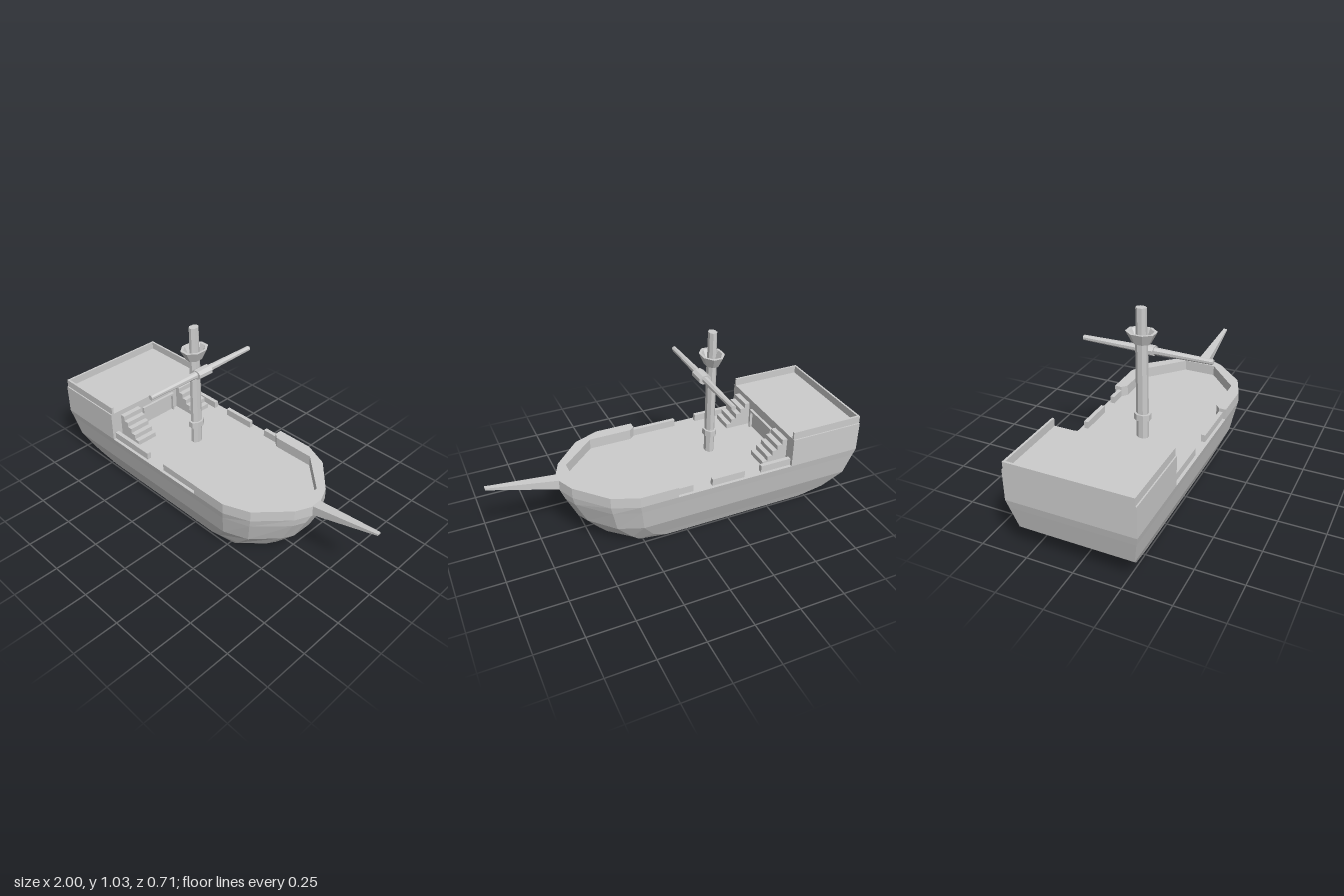
import * as THREE from 'three';

const material = new THREE.MeshStandardMaterial({ color: 0xcccccc, flatShading: true, side: THREE.DoubleSide });

// Stack of closed loops of [x, y, z] joined by quads, with both ends capped.
function loft(loops) {
  const n = loops[0].length, last = (loops.length - 1) * n, index = [];
  for (let k = 0; k < loops.length - 1; k++) {
    for (let i = 0; i < n; i++) {
      const a = k * n + i, b = k * n + (i + 1) % n;
      index.push(a, b, b + n, a, b + n, a + n);
    }
  }
  for (let i = 1; i < n - 1; i++) {
    index.push(0, i + 1, i, last, last + i, last + i + 1);
  }
  const geometry = new THREE.BufferGeometry();
  geometry.setAttribute('position', new THREE.Float32BufferAttribute(loops.flat(2), 3));
  geometry.setIndex(index);
  const flat = geometry.toNonIndexed();
  flat.computeVertexNormals();
  return flat;
}

function extrude(points, depth) {
  const shape = new THREE.Shape(points.map(([x, y]) => new THREE.Vector2(x, y)));
  return new THREE.ExtrudeGeometry(shape, { depth, bevelEnabled: false });
}

// Appends the mirrored half, in reverse order, to a half outline.
const mirrored = (half) => [...half, ...half.map(([x, z]) => [x, -z]).reverse()];

export function createModel() {
  const model = new THREE.Group();
  const add = (name, geometry, parent = model) => {
    const mesh = new THREE.Mesh(geometry, material);
    mesh.name = name;
    parent.add(mesh);
    return mesh;
  };
  const addBox = (name, x0, x1, y0, y1, z0, z1) => {
    const mesh = add(name, new THREE.BoxGeometry(x1 - x0, y1 - y0, z1 - z0));
    mesh.position.set((x0 + x1) / 2, (y0 + y1) / 2, (z0 + z1) / 2);
  };

  // Hull: half outlines [x, z] from stern to bow at each height
  const deckY = 0.31;
  const sections = [
    [0, [[-0.72, 0.24], [0.12, 0.24], [0.27, 0.215], [0.31, 0.14], [0.33, 0.1]]],
    [0.04, [[-0.86, 0.256], [0.2, 0.256], [0.31, 0.23], [0.42, 0.13], [0.45, 0.08]]],
    [0.14, [[-0.96, 0.3], [0.27, 0.3], [0.4, 0.25], [0.52, 0.12], [0.55, 0.06]]],
    [0.265, [[-0.99, 0.325], [0.29, 0.325], [0.43, 0.275], [0.58, 0.12], [0.61, 0.055]]],
    [deckY, [[-1, 0.335], [0.3, 0.335], [0.44, 0.28], [0.59, 0.12], [0.63, 0.03]]],
  ];
  add('hull', loft(sections.map(([y, half]) => mirrored(half).map(([x, z]) => [x, y, z]))));

  // Raised bulwark round the bow
  const outer = mirrored([[0.09, 0.335], [0.3, 0.335], [0.44, 0.28], [0.59, 0.12], [0.63, 0.03]]);
  const inner = mirrored([[0.09, 0.295], [0.12, 0.27], [0.36, 0.27], [0.555, 0.09]]).reverse();
  const bulwark = extrude([...outer, ...inner], 0.06).rotateX(-Math.PI / 2);
  add('bowBulwark', bulwark).position.y = deckY;

  // Low rails along the deck
  for (const [x0, x1] of [[-0.58, -0.3], [-0.17, 0.1]]) {
    addBox('leftDeckRail', x0, x1, deckY, 0.35, 0.295, 0.318);
  }
  for (const [x0, x1] of [[-0.58, -0.4], [-0.3, -0.11], [0, 0.1]]) {
    addBox('rightDeckRail', x0, x1, deckY, 0.35, -0.318, -0.295);
  }

  // Stern cabin with rails on three sides
  addBox('sternCabin', -1, -0.58, deckY, 0.477, -0.335, 0.335);
  addBox('sternRail', -1, -0.988, 0.477, 0.52, -0.328, 0.328);
  for (const s of [-1, 1]) {
    addBox('sideRail', -1, -0.58, 0.477, 0.52, s * 0.322 - 0.006, s * 0.322 + 0.006);
  }

  // Door frame on the cabin front
  const frame = [[-0.115, 0], [-0.105, 0], [-0.105, 0.102], [0.105, 0.102], [0.105, 0],
    [0.115, 0], [0.115, 0.115], [-0.115, 0.115]];
  add('doorFrame', extrude(frame, 0.015).rotateY(Math.PI / 2)).position.set(-0.58, deckY, 0);

  // Twin stairs up to the cabin roof
  const steps = 5, run = 0.145 / steps, rise = 0.138 / steps;
  const profile = [[0, 0], [steps * run, 0]];
  for (let i = steps; i > 0; i--) {
    const h = (steps - i + 1) * rise;
    profile.push([i * run, h], [(i - 1) * run, h]);
  }
  for (const z of [-0.27, 0.145]) {
    add('stairs', extrude(profile, 0.125)).position.set(-0.58, deckY, z);
  }

  // Mast, slightly flattened along the ship
  const mast = new THREE.Group();
  mast.name = 'mast';
  mast.position.x = -0.245;
  mast.scale.x = 0.78;
  model.add(mast);
  const addRound = (name, y0, y1, r0, r1) => {
    const geometry = new THREE.CylinderGeometry(r1, r0, y1 - y0, 8).rotateY(Math.PI / 8);
    add(name, geometry, mast).position.y = (y0 + y1) / 2;
  };
  addRound('mastPole', deckY, 0.85, 0.034, 0.033);
  addRound('mastTop', 0.85, 1.03, 0.03, 0.029);
  addRound('mastCollar', 0.415, 0.45, 0.047, 0.047);

  // Hollow lookout basket
  const basket = [[0, 0.845], [0.05, 0.845], [0.083, 0.905], [0.066, 0.905], [0.042, 0.86], [0, 0.86]];
  const basketGeometry = new THREE.LatheGeometry(basket.map(([r, y]) => new THREE.Vector2(r, y)), 8);
  add('lookoutBasket', basketGeometry.rotateY(Math.PI / 8), mast);

  // Crosswise yard, tapering to both ends, with a central sleeve
  for (const s of [-1, 1]) {
    const half = new THREE.CylinderGeometry(0.014, 0.02, 0.355, 8).rotateY(Math.PI / 8);
    half.rotateX(s * Math.PI / 2).translate(-0.19, 0.784, s * 0.1775);
    add('yard', half);
  }
  const sleeve = new THREE.CylinderGeometry(0.026, 0.026, 0.09, 8).rotateY(Math.PI / 8);
  sleeve.rotateX(Math.PI / 2).scale(1.35, 1, 1);
  add('yardSleeve', sleeve).position.set(-0.188, 0.784, 0);

  // Bowsprit
  const cut = (x, y0, y1, w) => [[x, y0, w], [x, y0, -w], [x, y1, -w], [x, y1, w]];
  add('bowsprit', loft([cut(0.61, 0.31, 0.368, 0.031), cut(1, 0.41, 0.42, 0.011)]));

  return model;
}
